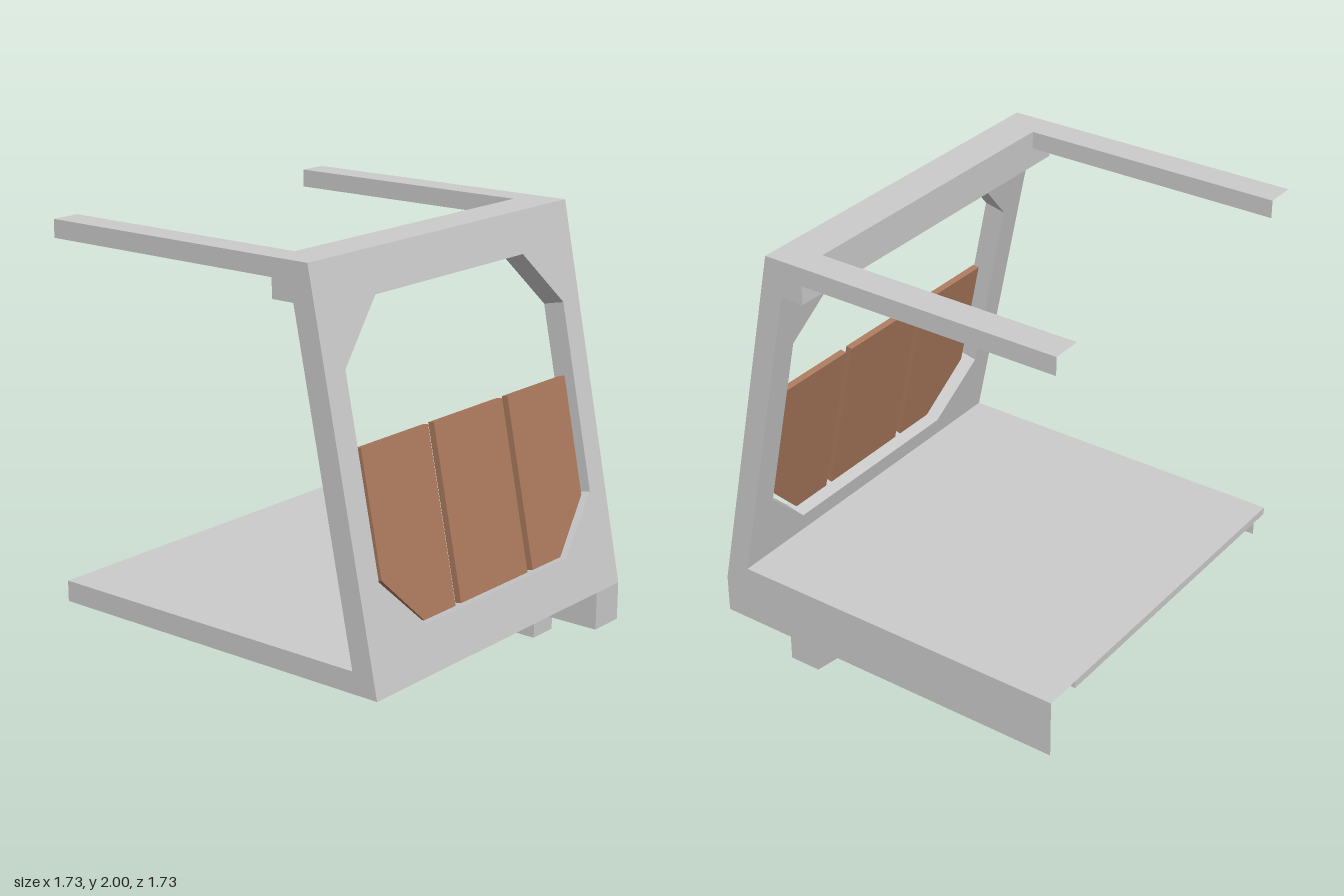
import * as THREE from 'three';

const SLOPE = -0.2035; // z change per unit of height on the leaning front
const Y0 = 0.305, Z0 = 0.865; // bottom front edge of the leaning frame
const W = 0.865; // half width

export function createModel() {
  const group = new THREE.Group();
  const grey = new THREE.MeshStandardMaterial({ color: 0xcccccc });
  const brown = new THREE.MeshStandardMaterial({ color: 0xab7a5e });

  const add = (name, geo, mat = grey) => {
    const mesh = new THREE.Mesh(geo, mat);
    mesh.name = name;
    group.add(mesh);
  };

  // Box given by its limits; openBack leaves out the -z end
  const box = (name, x0, x1, y0, y1, z0, z1, openBack = false) => {
    const g = new THREE.BoxGeometry(x1 - x0, y1 - y0, z1 - z0);
    if (openBack) g.setIndex(Array.from(g.index.array).slice(0, 30));
    g.translate((x0 + x1) / 2, (y0 + y1) / 2, (z0 + z1) / 2);
    add(name, g);
  };

  const outline = (pts) => pts.map(([x, y]) => new THREE.Vector2(x, y));

  // Extrude a front outline backwards and lean it along the front slope;
  // square(x, y) picks the points whose edges run at right angles to the slope
  const leaning = (shape, depth, offset, square) => {
    const g = new THREE.ExtrudeGeometry(shape, { depth, bevelEnabled: false });
    const p = g.attributes.position;
    for (let i = 0; i < p.count; i++) {
      const x = p.getX(i), y = p.getY(i), back = depth - p.getZ(i);
      const drop = square(x, y) ? back * SLOPE : 0;
      p.setXYZ(i, x, y + drop, Z0 - offset - back + SLOPE * (y + drop - Y0));
    }
    g.computeVertexNormals();
    return g;
  };

  // Front frame with an eight-sided opening
  const frame = new THREE.Shape(outline([[-W, Y0], [W, Y0], [W, 2], [-W, 2]]));
  frame.holes.push(new THREE.Path(outline([
    [-0.5, 0.51], [-0.745, 0.745], [-0.745, 1.575], [-0.5, 1.82],
    [0.5, 1.82], [0.745, 1.575], [0.745, 0.745], [0.5, 0.51],
  ])));
  add('frontFrame', leaning(frame, 0.105, 0, (x) => Math.abs(x) < 0.8));

  // Three brown panels in the lower part of the opening
  const panel = (name, pts) =>
    add(name, leaning(new THREE.Shape(outline(pts)), 0.03, 0.02, () => true), brown);
  const sidePanel = [[0.275, 0.515], [0.485, 0.515], [0.705, 0.735], [0.705, 1.26], [0.275, 1.26]];
  panel('leftPanel', sidePanel);
  panel('rightPanel', sidePanel.map(([x, y]) => [-x, y]).reverse());
  panel('middlePanel', [[-0.237, 0.515], [0.237, 0.515], [0.237, 1.26], [-0.237, 1.26]]);

  // Roof edge: front bar, lintel below it and two rails running back
  box('roofFrontBar', -W, W, 1.92, 2, 0.34, 0.46);
  box('lintel', -W, W, 1.835, 1.92, 0.34, 0.5);
  for (const [name, x] of [['leftRoofRail', 0.73], ['rightRoofRail', -W]])
    box(name, x, x + 0.135, 1.92, 2, -W, 0.34, true);

  // Floor with its lower edges
  box('floor', -W, 0.69, 0.365, 0.4, -W, 0.84);
  box('floorFrontEdge', -W, 0.69, Y0, 0.365, 0.745, 0.85);
  box('floorRightEdge', -W, -0.775, Y0, 0.365, -W, 0.745, true);

  // Deep rail under the left edge
  box('leftFloorRail', 0.69, W, 0.13, 0.4, -W, 0.84, true);
  box('leftRailNose', 0.69, W, 0.13, Y0, 0.8, Z0);

  // Bracket with a slanted back below the rail
  const foot = new THREE.ExtrudeGeometry(
    new THREE.Shape(outline([[-0.525, 0], [-0.375, 0], [-0.245, 0.13], [-0.525, 0.13]])),
    { depth: 0.145, bevelEnabled: false });
  foot.rotateY(Math.PI / 2).translate(0.705, 0, 0);
  add('bracket', foot);

  return group;
}
